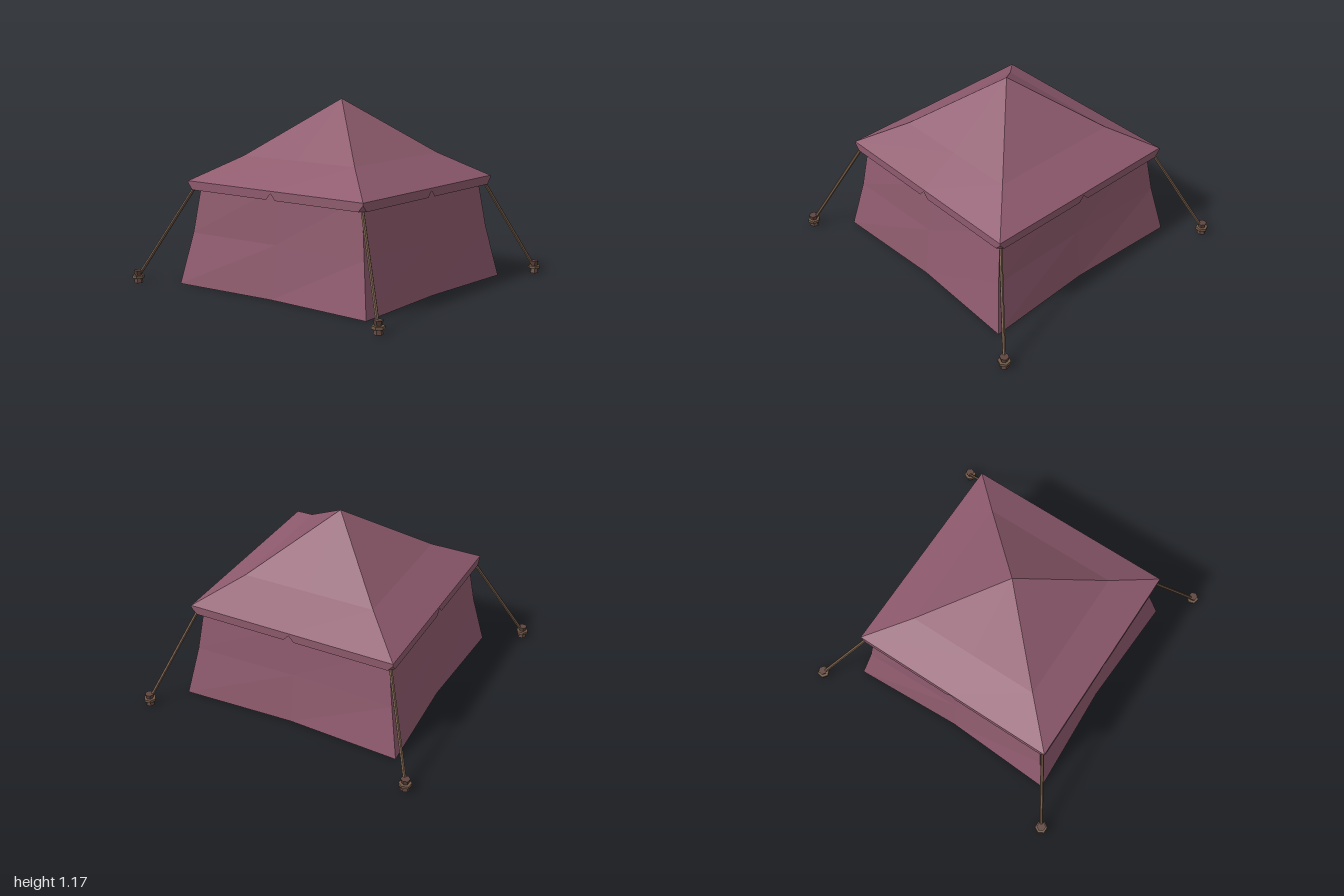
import * as THREE from 'three';

const cloth = new THREE.MeshStandardMaterial({ color: 0x8f5b6e, flatShading: true, side: THREE.DoubleSide });
const rope = new THREE.MeshStandardMaterial({ color: 0x735a47, flatShading: true });
const peg = new THREE.MeshStandardMaterial({ color: 0x604640, flatShading: true });

function add(parent, name, geometry, material) {
  const mesh = new THREE.Mesh(geometry, material);
  mesh.name = name;
  parent.add(mesh);
  return mesh;
}

// Square ring of 8 points (corners and edge middles), edges pulled in by bow.
function ring(hx, hz, y, bow = 0) {
  return [[1, 1], [1, 0], [1, -1], [0, -1], [-1, -1], [-1, 0], [-1, 1], [0, 1]].map(([x, z]) =>
    [x * (hx - (z ? 0 : bow)), y, z * (hz - (x ? 0 : bow))]);
}

// Surface through rings from bottom to top.
function loft(rings) {
  const index = [];
  for (let r = 0; r < rings.length - 1; r++) {
    for (let i = 0; i < 8; i++) {
      const a = r * 8 + i, b = r * 8 + (i + 1) % 8;
      index.push(a, b, b + 8, a, b + 8, a + 8);
    }
  }
  const g = new THREE.BufferGeometry();
  g.setAttribute('position', new THREE.Float32BufferAttribute(rings.flat(2), 3));
  g.setIndex(index);
  const flat = g.toNonIndexed();
  flat.computeVertexNormals();
  return flat;
}

export function createModel() {
  const model = new THREE.Group();
  model.name = 'tent';
  const tent = new THREE.Group();
  tent.name = 'canvas';
  tent.position.set(-0.03, 0, 0.01);
  model.add(tent);

  // Flared walls, starting with the closed floor
  add(tent, 'walls', loft([
    ring(0, 0, 0), ring(0.725, 0.74, 0, 0.035), ring(0.662, 0.678, 0.33, 0.015), ring(0.62, 0.63, 0.68),
  ]), cloth);

  // Pyramid roof with a slight kink
  const H = 0.69, eave = 0.665, hem = 0.61, cut = 0.035, tip = 0.65;
  add(tent, 'roof', loft([ring(H, H, eave), ring(0.44, 0.44, 0.82), ring(0, 0, 1.175)]), cloth);

  // Valance strips with a middle notch, and small corner gussets
  const strip = new THREE.Shape([
    [-H, eave], [-H, tip], [-H + cut, hem], [-cut, hem], [0, tip],
    [cut, hem], [H - cut, hem], [H, tip], [H, eave],
  ].map(([x, y]) => new THREE.Vector2(x, y)));
  const stripGeometry = new THREE.ShapeGeometry(strip).translate(0, 0, H);
  const gusset = new THREE.BufferGeometry();
  gusset.setAttribute('position', new THREE.Float32BufferAttribute(
    [H, tip, H, H - cut, hem, H, H, hem, H - cut], 3));
  gusset.computeVertexNormals();
  for (let i = 0; i < 4; i++) {
    add(tent, 'valance', stripGeometry, cloth).rotation.y = i * Math.PI / 2;
    add(tent, 'cornerGusset', gusset, cloth).rotation.y = i * Math.PI / 2;
  }

  // Guy ropes running to six-sided pegs
  const up = new THREE.Vector3(0, 1, 0);
  const pegProfile = [[0, 0], [0.03, 0], [0.019, 0.04], [0.03, 0.08], [0, 0.08]]
    .map(([r, y]) => new THREE.Vector2(r, y));
  [[-0.9, -0.965], [0.91, -0.89], [-0.92, 0.955], [0.91, 0.9]].forEach(([x, z], i) => {
    const guy = new THREE.Group();
    guy.name = 'guyLine';
    model.add(guy);

    const top = new THREE.Vector3(Math.sign(x) * 0.655 - 0.03, 0.635, Math.sign(z) * 0.655 + 0.01);
    const end = new THREE.Vector3(x, 0.04, z);
    const line = add(guy, 'rope', new THREE.CylinderGeometry(0.011, 0.011, top.distanceTo(end), 6), rope);
    line.position.copy(top).add(end).multiplyScalar(0.5);
    line.quaternion.setFromUnitVectors(up, top.clone().sub(end).normalize());

    const stake = new THREE.Group();
    stake.name = 'peg';
    stake.position.set(x, 0, z);
    stake.rotation.y = i * 0.4;
    guy.add(stake);
    add(stake, 'stake', new THREE.LatheGeometry(pegProfile, 6), peg);
    add(stake, 'ropeLoop', new THREE.CylinderGeometry(0.04, 0.04, 0.018, 6), rope).position.y = 0.04;
  });

  return model;
}
